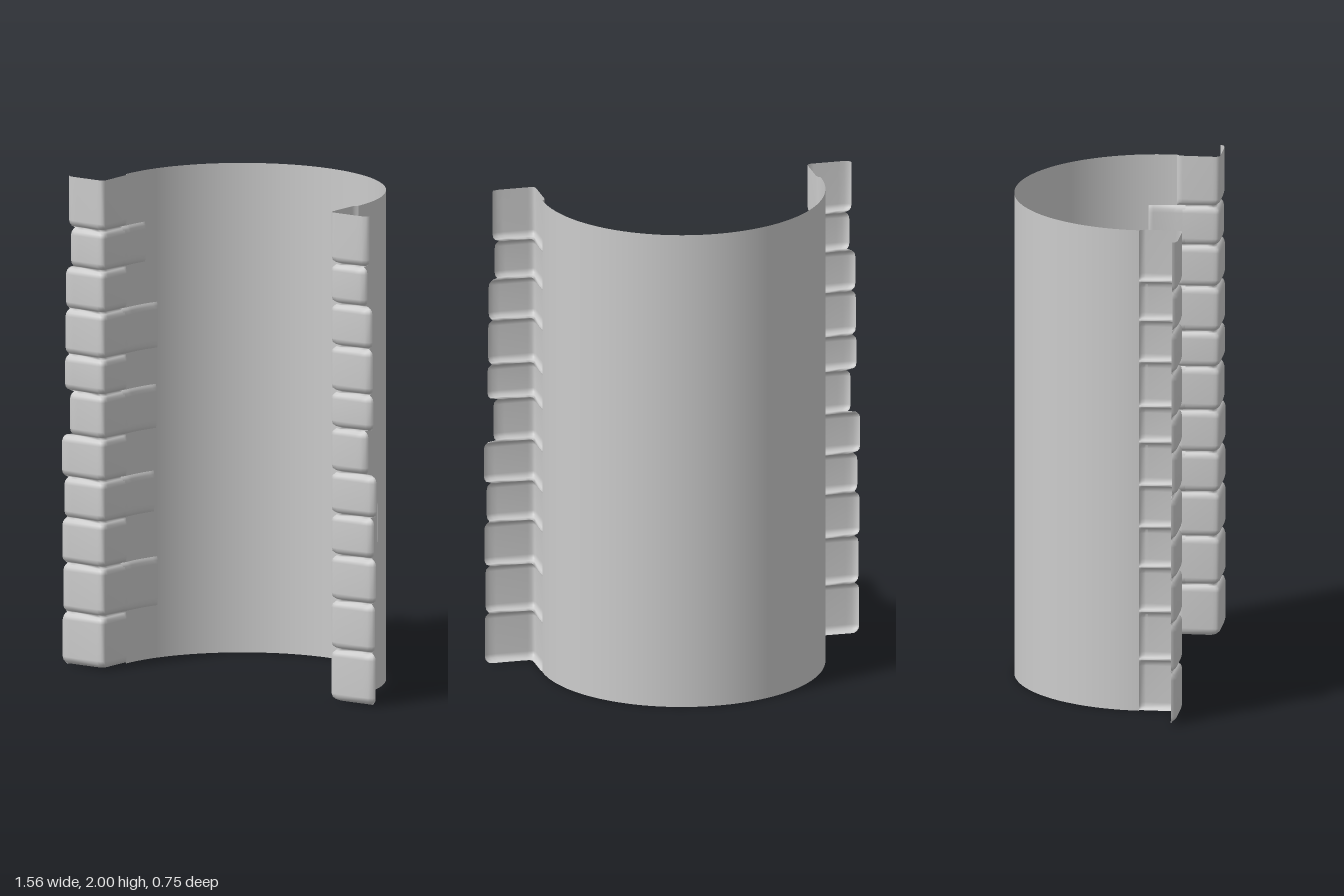
import * as THREE from 'three';

const R = 0.577, CZ = 0.2; // wall radius and the z of its axis

// Stone courses: joint heights, outer reach in x, and flap angle along the wall (0 = none)
const JOINTS = [0.004, 0.215, 0.415, 0.6, 0.767, 0.94, 1.12, 1.268, 1.455, 1.627, 1.79, 2];
const REACH = [0.776, 0.773, 0.778, 0.768, 0.78, 0.74, 0.765, 0.762, 0.76, 0.735, 0.744];
const FLAP = [0, 0.3, 0, 0.27, 0, 0.29, 0, 0.3, 0, 0.19, 0];

const material = new THREE.MeshStandardMaterial({ color: 0xcccccc, side: THREE.DoubleSide });

// Smooth sheet through rows of [x, y, z] points
function sheet(name, rows) {
  const n = rows[0].length, index = [];
  for (let i = 0; i < rows.length - 1; i++) {
    for (let j = 0; j < n - 1; j++) {
      const a = i * n + j, b = a + n;
      index.push(a, a + 1, b, b, a + 1, b + 1);
    }
  }
  const g = new THREE.BufferGeometry();
  g.setAttribute('position', new THREE.Float32BufferAttribute(rows.flat(2), 3));
  g.setIndex(index);
  g.computeVertexNormals();
  const mesh = new THREE.Mesh(g, material);
  mesh.name = name;
  return mesh;
}

// Row heights across a stone with bulge p: 0 in the joint, 1 on the face
function rowsOf(y0, y1, openTop) {
  const rows = [[y0, 0], [y0 + 0.006, 0.45], [y0 + 0.015, 0.85], [y0 + 0.03, 1]];
  if (openTop) return [...rows, [y1, 1]];
  return [...rows, [y1 - 0.03, 1], [y1 - 0.015, 0.85], [y1 - 0.006, 0.45], [y1, 0]];
}

// L-shaped section: outer edge, front face, rounded corner, return to the wall
function stoneSection(side, y, p, reach) {
  const o = reach - 0.018 * (1 - p);
  const f = 0.35 + 0.025 * p;
  const i = 0.581 - 0.018 * p;
  return [
    [o, 0.355], [o - 0.006, f - 0.007 * p], [o - 0.025, f - 0.001], [o - 0.05, f],
    [i + 0.03, f], [i + 0.015, f - 0.001], [i + 0.005, f - 0.005], [i + 0.001, f - 0.015],
    [i, f - 0.03], [i, 0.225], [i + 0.004 * p, 0.21], [R, CZ],
  ].map(([x, z]) => [side * x, y, z]);
}

// Long stones carry on along the inside of the curved wall
function flapSection(side, y, p, angle) {
  const pts = [[side * (0.581 - 0.018 * p), y, 0.235]];
  for (let k = 0; k <= 8; k++) {
    const t = k / 8, a = angle * t;
    const r = R - 0.002 - (0.011 - 0.004 * t) * p;
    pts.push([side * r * Math.cos(a), y, CZ - r * Math.sin(a)]);
  }
  const tip = angle + 0.008;
  pts.push([side * R * Math.cos(tip), y, CZ - R * Math.sin(tip)]);
  return pts;
}

function quoins(side) {
  const group = new THREE.Group();
  group.name = side > 0 ? 'leftCornerStones' : 'rightCornerStones';
  const all = [];
  REACH.forEach((reach, s) => {
    const rows = rowsOf(JOINTS[s], JOINTS[s + 1], s === REACH.length - 1);
    // Neighbouring stones share one joint row
    const own = s === 0 ? rows : rows.slice(1);
    own.forEach(([y, p]) => all.push(stoneSection(side, y, p, reach)));
    if (FLAP[s]) {
      group.add(sheet('stoneFlap', rows.map(([y, p]) => flapSection(side, y, p, FLAP[s]))));
    }
  });
  group.add(sheet('cornerStoneFace', all));
  return group;
}

export function createModel() {
  const model = new THREE.Group();
  model.name = 'curvedNiche';

  // Half-round wall, open to the front
  const wall = new THREE.Mesh(
    new THREE.CylinderGeometry(R, R, 2, 64, 1, true, Math.PI / 2, Math.PI), material);
  wall.name = 'curvedWall';
  wall.position.set(0, 1, CZ);
  model.add(wall);

  for (const side of [1, -1]) model.add(quoins(side));
  return model;
}
